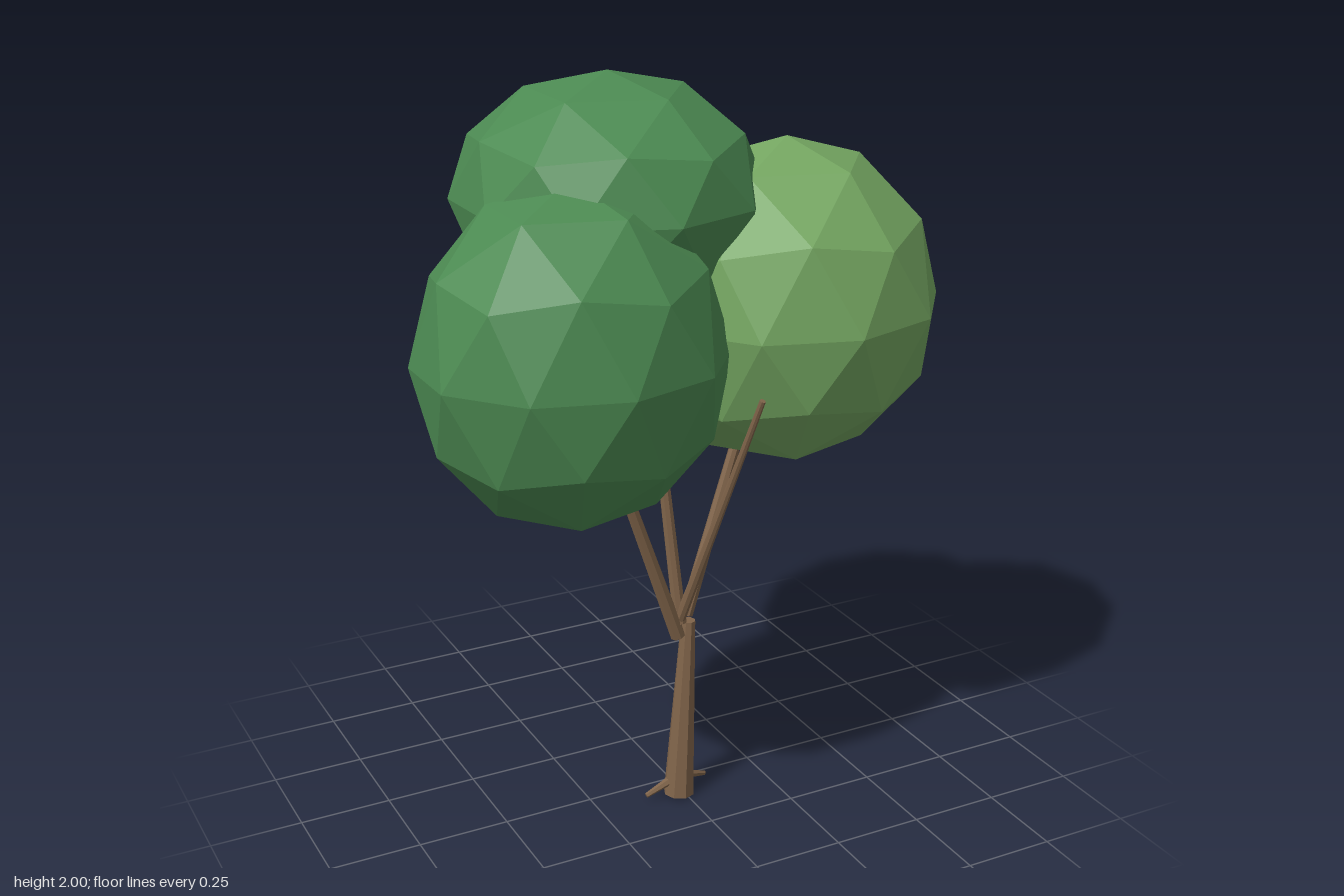
import * as THREE from 'three';

const bark = new THREE.MeshStandardMaterial({ color: 0x80644a, flatShading: true });
const darkLeaf = new THREE.MeshStandardMaterial({ color: 0x4c8a52, flatShading: true });
const lightLeaf = new THREE.MeshStandardMaterial({ color: 0x74a661, flatShading: true });

const UP = new THREE.Vector3(0, 1, 0);

// Tapered eight-sided limb between two points
function limb(name, from, to, r0, r1, sides = 8) {
  const a = new THREE.Vector3(...from);
  const b = new THREE.Vector3(...to);
  const dir = b.clone().sub(a);
  const mesh = new THREE.Mesh(new THREE.CylinderGeometry(r1, r0, dir.length(), sides), bark);
  mesh.name = name;
  mesh.position.copy(a).add(b).multiplyScalar(0.5);
  mesh.quaternion.setFromUnitVectors(UP, dir.normalize());
  return mesh;
}

// Faceted leaf mass: an icosphere with a corner at its top, stretched to the given radii
function foliage(name, center, radii, material) {
  const geo = new THREE.IcosahedronGeometry(1, 1);
  geo.rotateZ(-Math.atan(2 / (1 + Math.sqrt(5))));
  geo.scale(...radii);
  const mesh = new THREE.Mesh(geo, material);
  mesh.name = name;
  mesh.position.set(...center);
  return mesh;
}

export function createModel() {
  const tree = new THREE.Group();
  tree.name = 'tree';

  // Leaning trunk and two small surface roots
  tree.add(
    limb('trunk', [-0.013, 0.004, 0.078], [0.016, 0.53, 0.076], 0.043, 0.02),
    limb('rootRight', [-0.02, 0.055, 0.078], [-0.115, 0.02, 0.08], 0.014, 0.007, 6),
    limb('rootLeft', [0.0, 0.055, 0.075], [0.085, 0.02, 0.045], 0.014, 0.007, 6),
  );

  // Branches fanning out into the leaves
  tree.add(
    limb('branchRight', [-0.015, 0.49, 0.075], [-0.255, 1.15, 0.115], 0.021, 0.014),
    limb('branchLeft', [0.008, 0.55, 0.078], [0.24, 1.23, 0.05], 0.019, 0.013),
    limb('branchBack', [-0.01, 0.53, 0.078], [-0.075, 1.4, 0.0], 0.019, 0.012),
    limb('branchFront', [-0.012, 0.54, 0.08], [0.08, 1.235, 0.345], 0.015, 0.008),
  );

  // Three overlapping leaf masses
  tree.add(
    foliage('foliageRight', [-0.34, 1.35, 0.14], [0.405, 0.445, 0.36], darkLeaf),
    foliage('foliageLeft', [0.31, 1.385, 0.045], [0.42, 0.435, 0.395], lightLeaf),
    foliage('foliageTop', [-0.13, 1.69, -0.09], [0.405, 0.31, 0.41], darkLeaf),
  );
  return tree;
}
